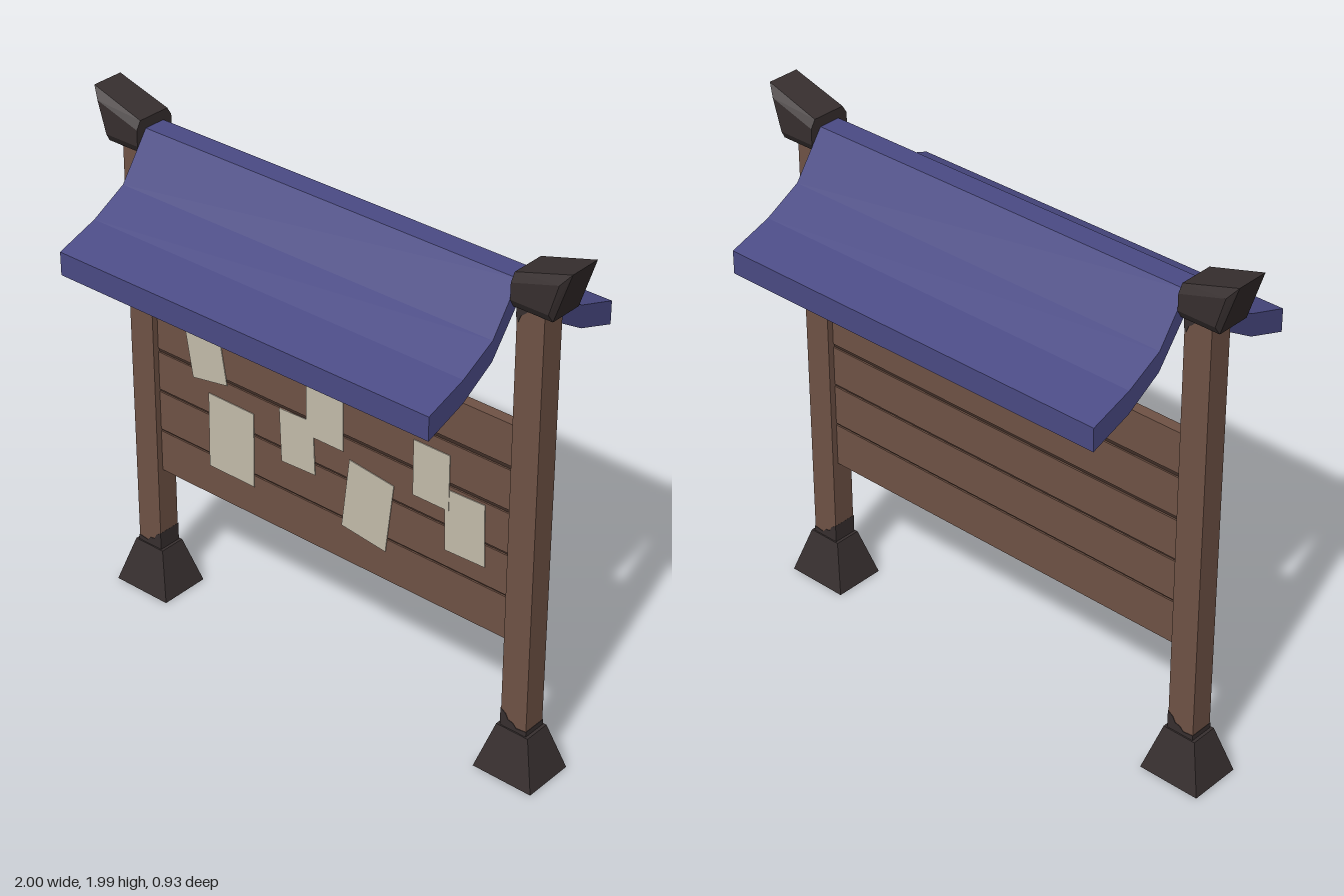
import * as THREE from 'three';
import { ConvexGeometry } from 'three/addons/geometries/ConvexGeometry.js';

const mat = (name, color) => {
  const m = new THREE.MeshStandardMaterial({ color });
  m.name = name;
  return m;
};

// Extrude an outline of [x, y] points, centred on z = 0
function slab(points, depth) {
  const shape = new THREE.Shape(points.map(([x, y]) => new THREE.Vector2(x, y)));
  return new THREE.ExtrudeGeometry(shape, { depth, bevelEnabled: false }).translate(0, 0, -depth / 2);
}

export function createModel() {
  const wood = mat('brown wood', 0x6f5245);
  const groove = mat('dark groove', 0x3e2d26);
  const stone = mat('dark stone', 0x372f2f);
  const cloth = mat('blue roof', 0x4a4a84);
  const paper = mat('aged paper', 0xc4bcab);

  const model = new THREE.Group();
  model.name = 'noticeBoard';
  const add = (parent, name, geometry, material) => {
    const mesh = new THREE.Mesh(geometry, material);
    mesh.name = name;
    parent.add(mesh);
    return mesh;
  };

  // Post with foot and cap; symmetric in z, so a half turn makes the other side
  const postX = 0.8375;
  for (const side of ['left', 'right']) {
    const group = new THREE.Group();
    group.name = side + 'Post';
    if (side === 'right') group.rotation.y = Math.PI;
    model.add(group);

    add(group, 'post', new THREE.BoxGeometry(0.106, 1.72, 0.09).translate(postX, 0.96, 0), wood);

    // Tapered foot
    const foot = [];
    for (const sx of [-1, 1]) for (const sz of [-1, 1]) {
      foot.push(new THREE.Vector3(postX + sx * 0.122, 0, sz * 0.1));
      foot.push(new THREE.Vector3(postX + sx * 0.066, 0.18, sz * 0.052));
    }
    add(group, 'foot', new ConvexGeometry(foot), stone);

    // Flared cap: inner and outer ends as chamfered [x, y, z] sections
    const cap = [];
    for (const [x, y, z] of [
      [0.785, 1.80, 0.065], [0.785, 1.83, 0.083], [0.785, 1.89, 0.083], [0.785, 1.92, 0.065],
      [0.935, 1.80, 0.065], [0.93, 1.83, 0.083], [0.965, 1.945, 0.083], [0.998, 1.985, 0.062],
    ]) for (const s of [-1, 1]) cap.push(new THREE.Vector3(x, y, s * z));
    add(group, 'cap', new ConvexGeometry(cap), stone);

    // Ragged dark wear where the post meets foot and cap
    add(group, 'lowerWear', slab([
      [0.783, 0.17], [0.892, 0.17], [0.892, 0.2], [0.85, 0.195], [0.836, 0.21],
      [0.815, 0.215], [0.805, 0.235], [0.783, 0.25]], 0.094), stone);
    add(group, 'upperWear', slab([
      [0.783, 1.81], [0.783, 1.755], [0.792, 1.74], [0.802, 1.765], [0.815, 1.775],
      [0.83, 1.79], [0.892, 1.785], [0.892, 1.81]], 0.094), stone);
  }

  // Board: planks over a thinner dark core that shows in the grooves
  const seams = [0.685, 0.85, 1.015, 1.182];
  const gaps = [0.008, 0.01, 0.014, 0.016];
  add(model, 'boardCore', new THREE.BoxGeometry(1.57, 0.75, 0.03).translate(0, 0.92, 0), groove);
  for (let i = 0; i < 4; i++) {
    const low = i ? seams[i - 1] + gaps[i - 1] / 2 : 0.515;
    const high = seams[i] - gaps[i] / 2;
    add(model, 'plank', new THREE.BoxGeometry(1.57, high - low, 0.042).translate(0, (low + high) / 2, 0), wood);
  }
  add(model, 'topPlank', slab([
    [-0.785, 1.19], [0.785, 1.19], [0.785, 1.345], [0.425, 1.345],
    [0.23, 1.475], [-0.23, 1.475], [-0.425, 1.345], [-0.785, 1.345]], 0.042), wood);

  // Pinned notices: x, y, width, height, tilt
  [
    [-0.555, 1.1, 0.162, 0.23, 0.17],
    [-0.438, 0.788, 0.21, 0.3, -0.01],
    [-0.135, 0.907, 0.152, 0.21, 0.04],
    [-0.01, 1.07, 0.163, 0.23, 0],
    [0.178, 0.782, 0.195, 0.28, -0.12],
    [0.45, 1.022, 0.152, 0.215, 0],
    [0.592, 0.877, 0.167, 0.24, 0.03],
  ].forEach(([x, y, w, h, tilt], i) => {
    const note = add(model, 'notice', new THREE.BoxGeometry(w, h, 0.003), paper);
    note.position.set(x, y, 0.0235 + (i % 2) * 0.002);
    note.rotation.z = tilt;
  });

  // Swept roof: half profile of [z, y], mirrored and extruded along x
  const upper = [[0.042, 1.885], [0.16, 1.72], [0.3, 1.645], [0.463, 1.59]];
  const lower = [[0.463, 1.503], [0.3, 1.56], [0.16, 1.645], [0.042, 1.8]];
  const half = [...upper, ...lower];
  const profile = [...half, ...half.map(([z, y]) => [-z, y]).reverse()];
  add(model, 'roof', slab(profile, 1.566).rotateY(Math.PI / 2), cloth);

  return model;
}
